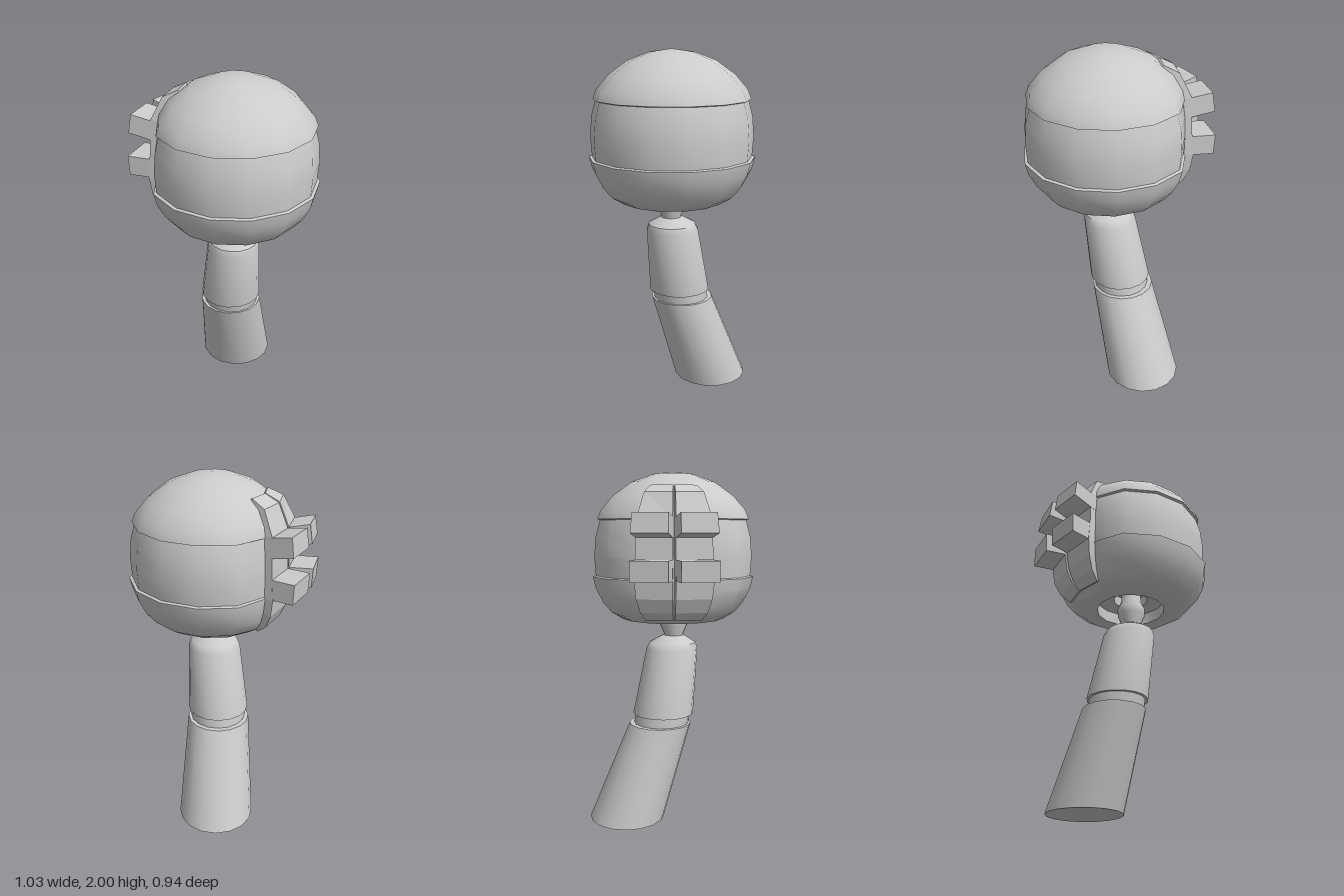
import * as THREE from 'three';
import { toCreasedNormals } from 'three/addons/utils/BufferGeometryUtils.js';

const grey = new THREE.MeshStandardMaterial({ color: 0xcccccc });
const HEAD_X = 0.05, HEAD_Z = 0.02, HEAD_SIDES = 14;

// The head is flattened where the straps sit
const flatten = (x) => (x < -0.33 ? -0.33 + (x + 0.33) * 0.55 : x);

function addMesh(group, name, geometry) {
  const mesh = new THREE.Mesh(geometry, grey);
  mesh.name = name;
  group.add(mesh);
}

// Round limb whose rings [x, y, z, radius] have shifting centres
function limb(rings) {
  const geo = new THREE.LatheGeometry(rings.map(([, y, , r]) => new THREE.Vector2(r, y)), 16);
  const p = geo.attributes.position;
  for (let i = 0; i < p.count; i++) {
    const [cx, , cz] = rings[i % rings.length];
    p.setXYZ(i, p.getX(i) + cx, p.getY(i), p.getZ(i) + cz);
  }
  return toCreasedNormals(geo, 0.65);
}

// Block raised from one facet of the head; rows are [radius, y, thickness, upward lean]
function facetBlock(rows, side) {
  const pos = [], index = [];
  const a = (Math.PI * 2) / HEAD_SIDES;
  for (const [r, y, t, lean] of rows) {
    const ax = HEAD_X + flatten(-r), bx = HEAD_X + flatten(-r * Math.cos(a));
    const bz = HEAD_Z + side * r * Math.sin(a);
    const n = new THREE.Vector3(-1, lean, side * 0.2).normalize().multiplyScalar(t);
    pos.push(ax, y, HEAD_Z, bx, y, bz);
    pos.push(bx + n.x, y + n.y, bz + n.z, ax + n.x, y + n.y, HEAD_Z + n.z);
  }
  const quad = (i, j, k, l) => index.push(...(side > 0 ? [i, j, k, i, k, l] : [i, k, j, i, l, k]));
  for (let i = 0; i < rows.length - 1; i++) {
    for (let c = 0; c < 4; c++) {
      const d = (c + 1) % 4, o = i * 4;
      quad(o + c, o + d, o + 4 + d, o + 4 + c);
    }
  }
  const e = (rows.length - 1) * 4;
  quad(3, 2, 1, 0);
  quad(e, e + 1, e + 2, e + 3);
  const geo = new THREE.BufferGeometry();
  geo.setAttribute('position', new THREE.Float32BufferAttribute(pos, 3));
  geo.setIndex(index);
  const flat = geo.toNonIndexed();
  flat.computeVertexNormals();
  return flat;
}

export function createModel() {
  const group = new THREE.Group();

  // Handle: leaning lower sleeve, inset ring, upper sleeve with a ball neck
  addMesh(group, 'lowerSleeve', limb([
    [-0.078, 0, -0.252, 0], [-0.078, 0, -0.252, 0.218],
    [-0.015, 0.555, -0.055, 0.18], [-0.015, 0.555, -0.055, 0],
  ]));
  addMesh(group, 'sleeveRing', limb([[-0.01, 0.54, -0.05, 0.16], [-0.004, 0.62, -0.038, 0.16]]));
  addMesh(group, 'upperSleeve', limb([
    [-0.005, 0.61, -0.037, 0], [-0.005, 0.61, -0.037, 0.176],
    [0.04, 0.99, 0.015, 0.15], [0.043, 1.025, 0.018, 0.135],
    [0.048, 1.06, 0.022, 0.075], [0.05, 1.07, 0.025, 0.05],
  ]));
  addMesh(group, 'neck', limb([
    [0.05, 1.05, 0.025, 0.055], [0.05, 1.08, 0.025, 0.058], [0.05, 1.13, 0.025, 0.08],
    [0.05, 1.17, 0.025, 0.082], [0.05, 1.22, 0.025, 0.06], [0.05, 1.32, 0.025, 0.055],
  ]));

  // Head: recessed underside, lower cup, inset band and overhanging dome
  const profile = [
    [0, 1.3], [0.1, 1.3], [0.1, 1.24], [0.2, 1.24], [0.2, 1.17], [0.295, 1.17],
    [0.36, 1.21], [0.41, 1.27], [0.45, 1.35], [0.465, 1.415], [0.448, 1.42],
    [0.455, 1.53], [0.445, 1.64], [0.42, 1.73], [0.435, 1.735],
    [0.415, 1.785], [0.345, 1.865], [0.24, 1.94], [0.12, 1.985], [0, 2],
  ].map(([r, y]) => new THREE.Vector2(r, y));
  // Start at a quarter turn so a corner of the polygon points along x
  const head = new THREE.LatheGeometry(profile, HEAD_SIDES, Math.PI / 2);
  const p = head.attributes.position;
  for (let i = 0; i < p.count; i++) p.setX(i, flatten(p.getX(i)));
  head.translate(HEAD_X, 0, HEAD_Z);
  addMesh(group, 'head', toCreasedNormals(head, 0.62));

  // Pair of straps on one side, each with two studs
  for (const side of [1, -1]) {
    const name = side > 0 ? 'front' : 'rear';
    addMesh(group, name + 'Strap', facetBlock([
      [0.28, 1.9, 0.02, 0.8], [0.345, 1.855, 0.04, 0.5], [0.425, 1.74, 0.045, 0.2],
      [0.455, 1.53, 0.04, 0], [0.465, 1.41, 0.045, 0], [0.445, 1.33, 0.045, -0.3],
      [0.4, 1.255, 0.035, -0.4], [0.345, 1.205, 0.02, -0.5],
    ], side));
    addMesh(group, name + 'UpperStud', facetBlock([[0.425, 1.735, 0.16, 0.2], [0.445, 1.63, 0.165, 0.2]], side));
    addMesh(group, name + 'LowerStud', facetBlock([[0.455, 1.525, 0.17, 0], [0.455, 1.415, 0.165, 0]], side));
  }
  return group;
}
